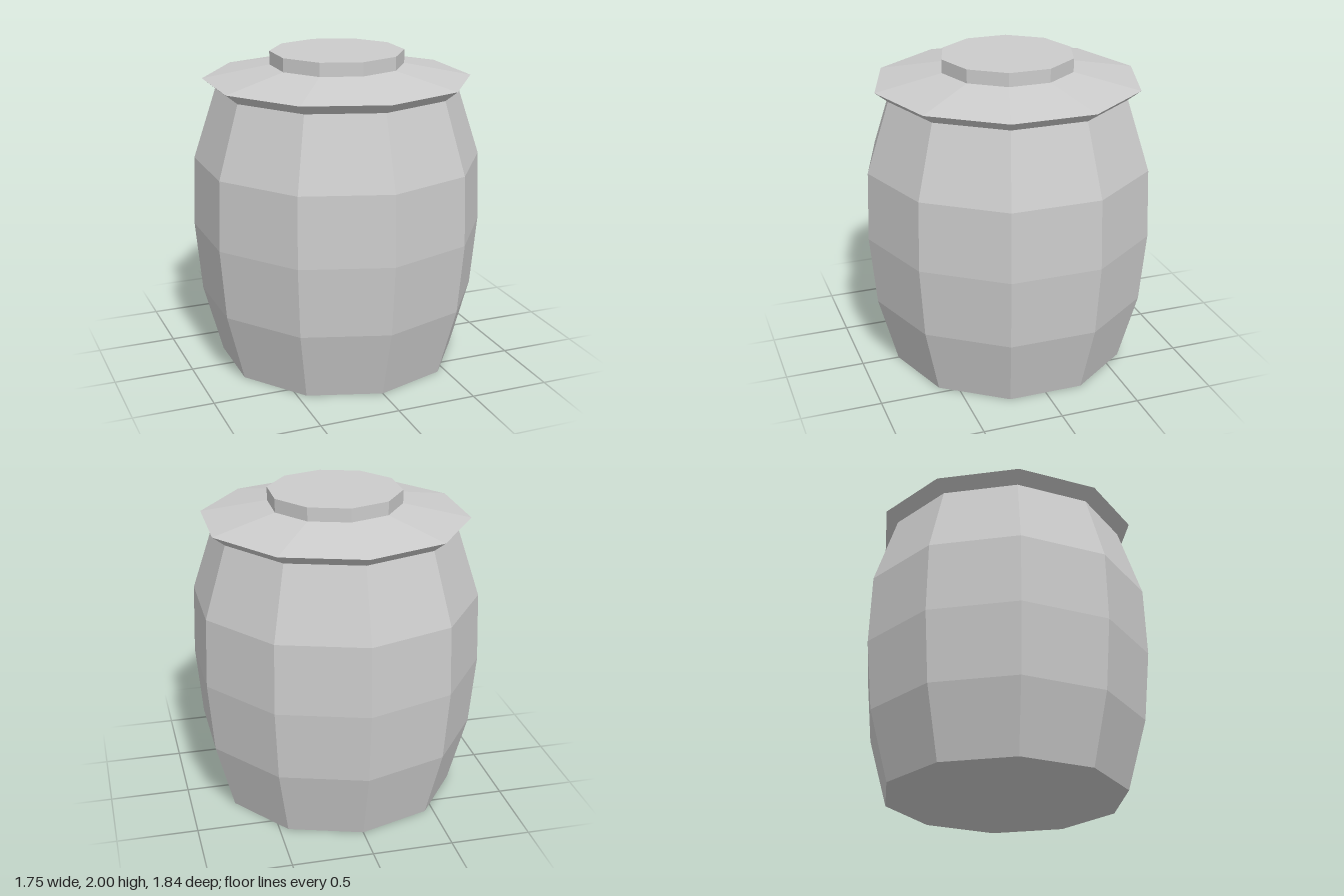
import * as THREE from 'three';

const SIDES = 10;
const material = new THREE.MeshStandardMaterial({ color: 0xcccccc, flatShading: true });

// Turns a [radius, height] profile, listed bottom to top, into a ten-sided part
function turned(name, profile) {
  const points = profile.map(([r, y]) => new THREE.Vector2(r, y));
  const mesh = new THREE.Mesh(new THREE.LatheGeometry(points, SIDES), material);
  mesh.name = name;
  return mesh;
}

export function createModel() {
  const group = new THREE.Group();
  group.name = 'lidded barrel jar';

  // Bulging body with a closed base
  group.add(turned('body', [
    [0, 0], [0.76, 0], [0.88, 0.44], [0.92, 0.885], [0.905, 1.325], [0.76, 1.77],
  ]));

  // Lid flaring out to a sharp rim, then sloping in to the knob
  group.add(turned('lid', [[0.76, 1.77], [0.84, 1.833], [0.42, 1.915]]));

  // Flat knob on top
  group.add(turned('knob', [[0.42, 1.915], [0.42, 2], [0, 2]]));

  return group;
}
